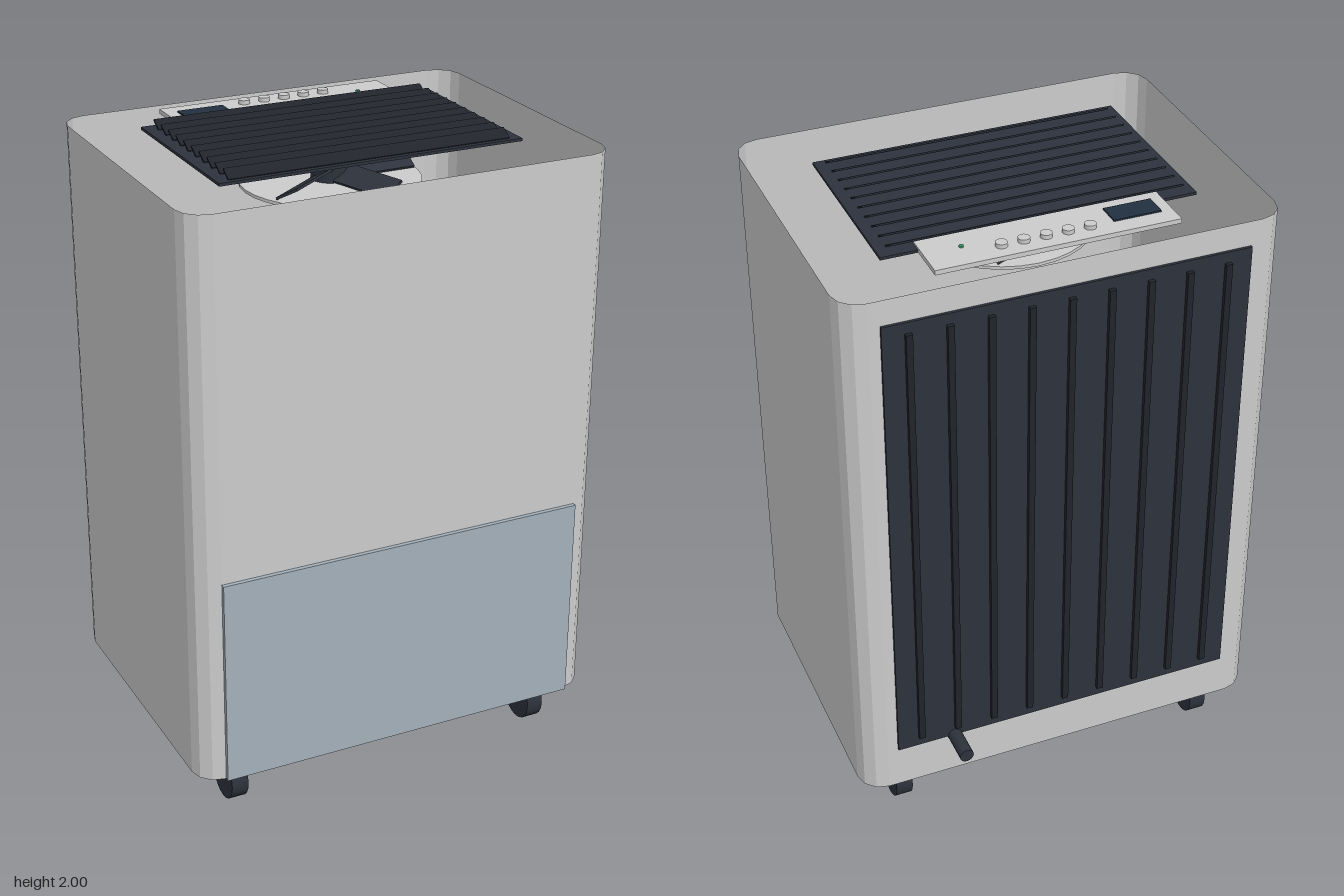
import * as THREE from 'three';

const mat = (color, side = THREE.FrontSide) => new THREE.MeshStandardMaterial({ color, side });
const light = mat(0xcccccc);
const shell = mat(0xcccccc, THREE.DoubleSide);
const dark = mat(0x2d323c);
const black = mat(0x20242b);
const tankBlue = mat(0xa3b0b9);
const screenBlue = mat(0x223040);
const green = mat(0x3fa070);

export function createModel() {
  const model = new THREE.Group();

  const add = (name, geometry, material, x, y, z) => {
    const mesh = new THREE.Mesh(geometry, material);
    mesh.name = name;
    mesh.position.set(x, y, z);
    model.add(mesh);
    return mesh;
  };
  // Box given by its limits on each axis
  const box = (name, material, [x0, x1], [y0, y1], [z0, z1]) =>
    add(name, new THREE.BoxGeometry(x1 - x0, y1 - y0, z1 - z0), material,
      (x0 + x1) / 2, (y0 + y1) / 2, (z0 + z1) / 2);

  // Housing: thin rounded-rectangle wall, open at top and bottom
  add('housing', wallGeometry(0.68, 0.51, 0.08, 3, 0.155, 1.97), shell, 0, 0, 0.05);

  // Water tank, standing slightly proud of the front
  box('waterTank', tankBlue, [-0.6, 0.6], [0.155, 0.83], [0.345, 0.574]);

  // Castors
  for (const x of [-0.53, 0.53]) {
    for (const z of [0.43, -0.33]) {
      const wheel = add('wheel', new THREE.CylinderGeometry(0.075, 0.075, 0.055, 20), dark, x, 0.075, z);
      wheel.rotation.z = Math.PI / 2;
    }
  }

  // Rear intake grille with vertical ribs
  box('rearGrille', dark, [-0.567, 0.567], [0.31, 1.89], [-0.471, -0.462]);
  for (let i = -4; i <= 4; i++) {
    const x = i * 0.1225;
    box('rearRib', black, [x - 0.01, x + 0.01], [0.345, 1.855], [-0.484, -0.47]);
  }

  // Drain spout
  const spout = add('drainSpout', new THREE.CylinderGeometry(0.023, 0.023, 0.115, 16), dark, 0.377, 0.31, -0.518);
  spout.rotation.x = Math.PI / 2;

  // Top outlet grille with tilted slats
  box('topGrille', dark, [-0.49, 0.49], [1.966, 1.975], [-0.255, 0.345]);
  for (let i = 0; i < 10; i++) {
    const slat = add('topSlat', new THREE.BoxGeometry(0.91, 0.006, 0.044), black, 0, 1.986, 0.31 - i * 0.0587);
    slat.rotation.x = 0.52;
  }

  // Control panel with display, buttons and indicator lamp
  box('controlPanel', light, [-0.377, 0.377], [1.966, 1.981], [-0.388, -0.205]);
  box('display', screenBlue, [-0.34, -0.19], [1.98, 1.986], [-0.33, -0.255]);
  for (let i = 0; i < 5; i++) {
    add('button', new THREE.CylinderGeometry(0.018, 0.018, 0.014, 20), light, -0.115 + i * 0.068, 1.987, -0.332);
  }
  add('indicatorLamp', new THREE.CylinderGeometry(0.007, 0.007, 0.006, 12), green, 0.263, 1.983, -0.294);

  // Fan under the outlet grille
  add('fanPlate', new THREE.CylinderGeometry(0.28, 0.28, 0.01, 32), light, 0, 1.83, 0.045);
  add('fanHub', new THREE.CylinderGeometry(0.06, 0.06, 0.06, 20), dark, 0, 1.86, 0.045);
  for (let i = 0; i < 5; i++) {
    const blade = new THREE.BoxGeometry(0.22, 0.008, 0.08);
    blade.rotateX(0.5);
    blade.translate(0.16, 0, 0);
    add('fanBlade', blade, dark, 0, 1.86, 0.045).rotation.y = (i * Math.PI * 2) / 5;
  }

  return model;
}

// Open wall following a rounded rectangle of half sizes hx, hz
function wallGeometry(hx, hz, r, segments, y0, y1) {
  const ring = [];
  const corners = [[1, 1], [-1, 1], [-1, -1], [1, -1]];
  corners.forEach(([sx, sz], c) => {
    for (let i = 0; i <= segments; i++) {
      const a = (c + i / segments) * Math.PI / 2;
      ring.push([sx * (hx - r) + r * Math.cos(a), sz * (hz - r) + r * Math.sin(a)]);
    }
  });
  const positions = [];
  ring.forEach(([ax, az], i) => {
    const [bx, bz] = ring[(i + 1) % ring.length];
    positions.push(ax, y0, az, ax, y1, az, bx, y1, bz);
    positions.push(ax, y0, az, bx, y1, bz, bx, y0, bz);
  });
  const geometry = new THREE.BufferGeometry();
  geometry.setAttribute('position', new THREE.Float32BufferAttribute(positions, 3));
  geometry.computeVertexNormals();
  return geometry;
}
